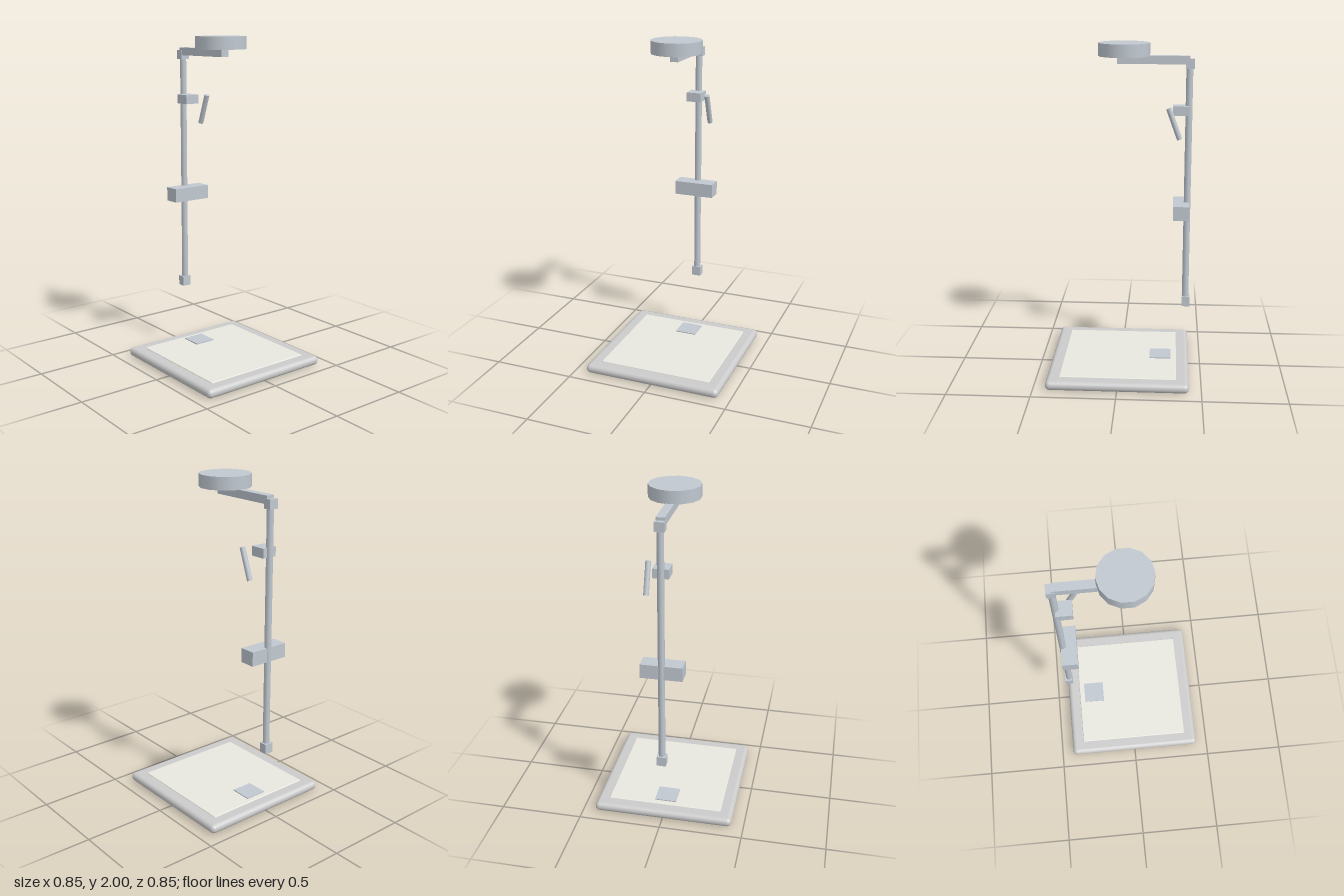
import * as THREE from 'three';
import { RoundedBoxGeometry } from 'three/addons/geometries/RoundedBoxGeometry.js';

export function createModel() {
  const group = new THREE.Group();
  const grey = new THREE.MeshStandardMaterial({ color: 0xcccccc });
  const panel = new THREE.MeshStandardMaterial({ color: 0xe8e8e0 });
  const metal = new THREE.MeshStandardMaterial({ color: 0xc0c8d0 });

  const add = (name, geometry, material, x, y, z) => {
    const mesh = new THREE.Mesh(geometry, material);
    mesh.name = name;
    mesh.position.set(x, y, z);
    group.add(mesh);
    return mesh;
  };
  // Box given by its width and its y and z ranges, centred on x = 0
  const box = (name, width, y0, y1, z0, z1) =>
    add(name, new THREE.BoxGeometry(width, y1 - y0, z1 - z0), metal, 0, (y0 + y1) / 2, (z0 + z1) / 2);

  // Shower tray with its standing surface and drain cover
  add('tray', new RoundedBoxGeometry(0.852, 0.056, 0.852, 4, 0.027), grey, 0, 0.03, 0);
  add('trayFloor', new RoundedBoxGeometry(0.7, 0.02, 0.7, 2, 0.005), panel, 0, 0.053, 0);
  box('drainCover', 0.132, 0.055, 0.069, -0.316, -0.184);

  // Riser rail with its end brackets
  add('riserRail', new THREE.CylinderGeometry(0.02, 0.02, 1.48, 10), metal, 0, 1.15, -0.4);
  box('lowerBracket', 0.056, 0.4, 0.46, -0.428, -0.378);
  box('upperBracket', 0.056, 1.855, 1.91, -0.428, -0.378);

  // Mixer valve and the slider that carries the hand shower
  box('mixerValve', 0.248, 0.975, 1.06, -0.412, -0.316);
  box('slider', 0.092, 1.585, 1.64, -0.4, -0.306);
  const handle = add('handShower', new THREE.CylinderGeometry(0.016, 0.016, 0.19, 12), metal, 0.095, 1.547, -0.315);
  handle.rotation.x = 0.35;

  // Overhead arm and shower head
  box('overheadArm', 0.05, 1.88, 1.927, -0.4, 0.02);
  add('showerHead', new THREE.CylinderGeometry(0.151, 0.151, 0.075, 14), metal, 0, 1.9625, -0.02);

  return group;
}
